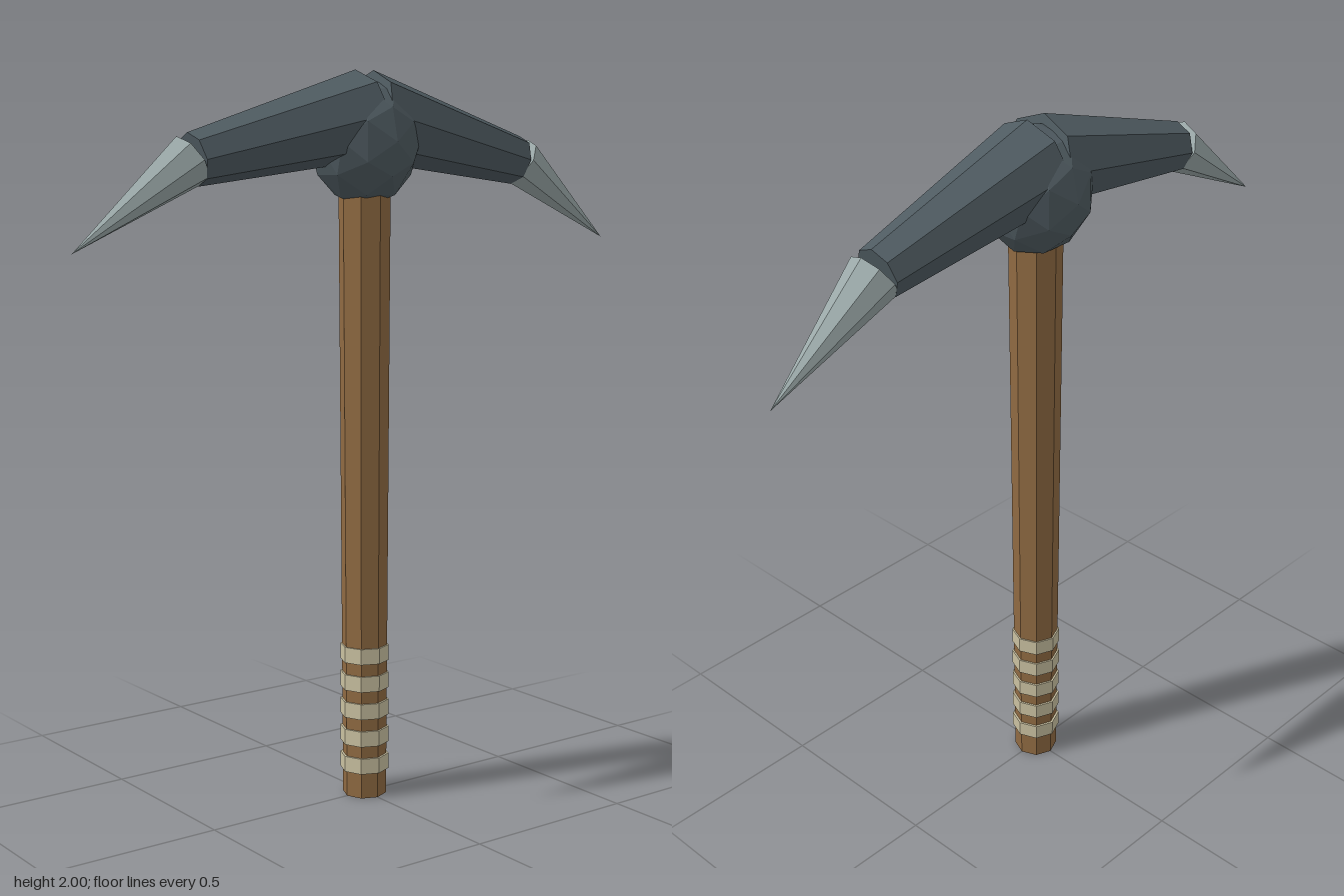
import * as THREE from 'three';

const paint = (color) => new THREE.MeshStandardMaterial({ color, flatShading: true });

export function createModel() {
  const group = new THREE.Group();
  const wood = paint(0x8f6a42);
  const wrap = paint(0xc9c0a0);
  const steel = paint(0x4f5b61);
  const edge = paint(0x9aa8a8);

  const add = (name, geometry, material, x, y) => {
    const mesh = new THREE.Mesh(geometry, material);
    mesh.name = name;
    mesh.position.set(x, y, 0);
    group.add(mesh);
    return mesh;
  };

  // Eight-sided solid running between two points in the xy plane
  const taper = (name, material, from, to, r0, r1) => {
    const dx = to[0] - from[0], dy = to[1] - from[1];
    const geometry = new THREE.CylinderGeometry(r1, r0, Math.hypot(dx, dy), 8);
    const mesh = add(name, geometry, material, (from[0] + to[0]) / 2, (from[1] + to[1]) / 2);
    mesh.rotation.z = Math.atan2(-dx, dy);
    return mesh;
  };

  // Shaft, slightly thicker towards the head
  taper('handle', wood, [0, 0], [0, 1.75], 0.061, 0.071);

  // Grip bands
  for (let i = 0; i < 5; i++) {
    add('gripBand' + (i + 1), new THREE.CylinderGeometry(0.068, 0.068, 0.044, 8), wrap, 0, 0.094 + i * 0.0785);
  }

  // Faceted knob joining shaft and arms
  const hub = add('hub', new THREE.IcosahedronGeometry(1, 1), steel, 0, 1.81);
  hub.scale.set(0.152, 0.172, 0.145);

  // Mirrored arms with pointed tips
  for (const [side, s] of [['left', 1], ['right', -1]]) {
    taper(side + 'Arm', steel, [s * 0.004, 1.882], [s * 0.537, 1.764], 0.121, 0.069);
    taper(side + 'Tip', edge, [s * 0.545, 1.763], [s * 0.882, 1.538], 0.07, 0);
  }
  return group;
}
